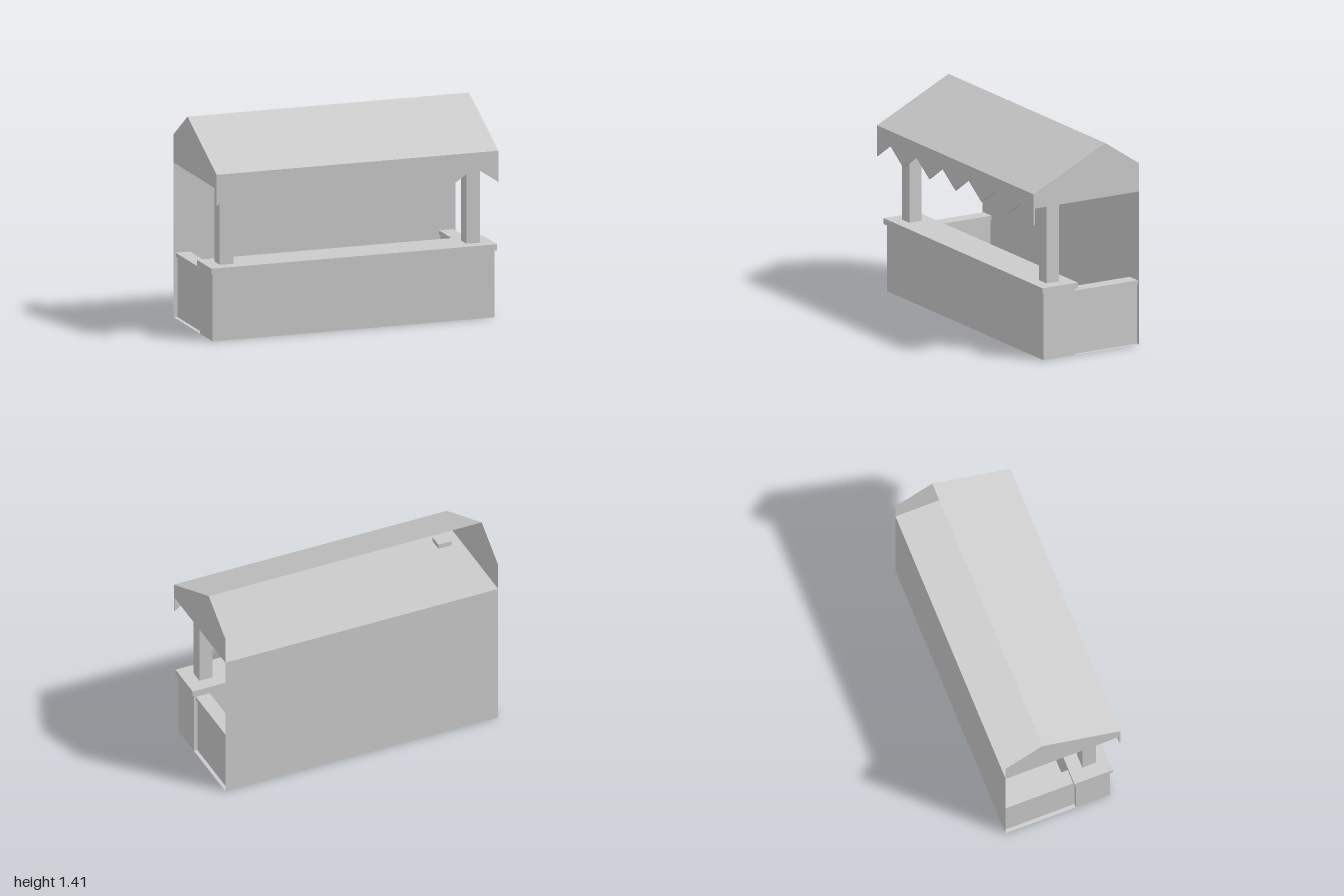
import * as THREE from 'three';

const grey = new THREE.MeshStandardMaterial({ color: 0xcccccc, flatShading: true, side: THREE.DoubleSide });

export function createModel() {
  const stall = new THREE.Group();

  const add = (name, geometry) => {
    const mesh = new THREE.Mesh(geometry, grey);
    mesh.name = name;
    stall.add(mesh);
    return mesh;
  };

  // Box given by its limits on each axis; openBottom leaves out the underside
  const box = (name, [x0, x1], [y0, y1], [z0, z1], openBottom = false) => {
    const g = new THREE.BoxGeometry(x1 - x0, y1 - y0, z1 - z0);
    if (openBottom) {
      const index = Array.from(g.index.array);
      index.splice(18, 6);
      g.setIndex(index);
      g.clearGroups();
    }
    g.translate((x0 + x1) / 2, (y0 + y1) / 2, (z0 + z1) / 2);
    return add(name, g);
  };

  const W = 0.985;      // half width
  const BACK = -0.405;
  const FRONT = 0.405;
  const CEILING = 1.042;
  const EAVE = 1.14;
  const RIDGE = { y: 1.41, z: -0.145 };

  // Front counter: hollow base and overhanging top
  box('counterBase', [-W, W], [0, 0.455], [0.09, 0.33], true);
  box('counterTop', [-1, 1], [0.455, 0.495], [0.075, 0.345]);

  // Back wall, floor and ceiling sheets
  add('backWall', new THREE.PlaneGeometry(2 * W, CEILING).rotateY(Math.PI).translate(0, CEILING / 2, BACK));
  const sheet = (name, x0, x1, y, z0, z1) =>
    add(name, new THREE.PlaneGeometry(x1 - x0, z1 - z0).rotateX(-Math.PI / 2)
      .translate((x0 + x1) / 2, y, (z0 + z1) / 2));
  sheet('floor', -0.88, 0.88, 0, BACK, 0.09);
  sheet('ceiling', -W, W, CEILING, BACK, FRONT - 0.01);

  // Gable outline, drawn in z and y
  const gable = new THREE.Shape([
    new THREE.Vector2(-FRONT, CEILING),
    new THREE.Vector2(-BACK, CEILING),
    new THREE.Vector2(-BACK, 1.235),
    new THREE.Vector2(-RIDGE.z, RIDGE.y),
    new THREE.Vector2(-FRONT, EAVE),
  ]);

  // Parts repeated on both ends
  for (const s of [-1, 1]) {
    const side = s > 0 ? 'left' : 'right';
    const span = (a, b) => (s > 0 ? [a, b] : [-b, -a]);
    box(side + 'SidePanel', span(0.88, 0.96), [0, 0.405], [BACK, 0.09], true);
    box(side + 'SidePanelCap', span(0.87, 0.97), [0.405, 0.433], [BACK, 0.09]);
    sheet(side + 'Ledge', ...span(0.96, W), 0, BACK, 0.09);
    box(side + 'Post', span(0.815, 0.91), [0.495, 1.075], [0.165, 0.26]);
    add(side + 'Gable', new THREE.ShapeGeometry(gable).rotateY(Math.PI / 2).translate(s * W, 0, 0));
  }

  // Front roof slope; the rear of the roof is open
  const rise = RIDGE.y - EAVE;
  const run = FRONT - RIDGE.z;
  add('roofSlope', new THREE.PlaneGeometry(2 * W, Math.hypot(rise, run))
    .rotateX(-Math.atan2(run, rise))
    .translate(0, (RIDGE.y + EAVE) / 2, (FRONT + RIDGE.z) / 2));

  // Front valance with a zigzag lower edge
  const valance = new THREE.Shape();
  valance.moveTo(W, EAVE);
  valance.lineTo(-W, EAVE);
  for (let i = 0; i <= 12; i++) {
    valance.lineTo(-W + (2 * W * i) / 12, i % 2 ? 1.04 : 0.93);
  }
  valance.closePath();
  add('valance', new THREE.ExtrudeGeometry(valance, { depth: 0.01, bevelEnabled: false })
    .translate(0, 0, FRONT - 0.01));

  return stall;
}
